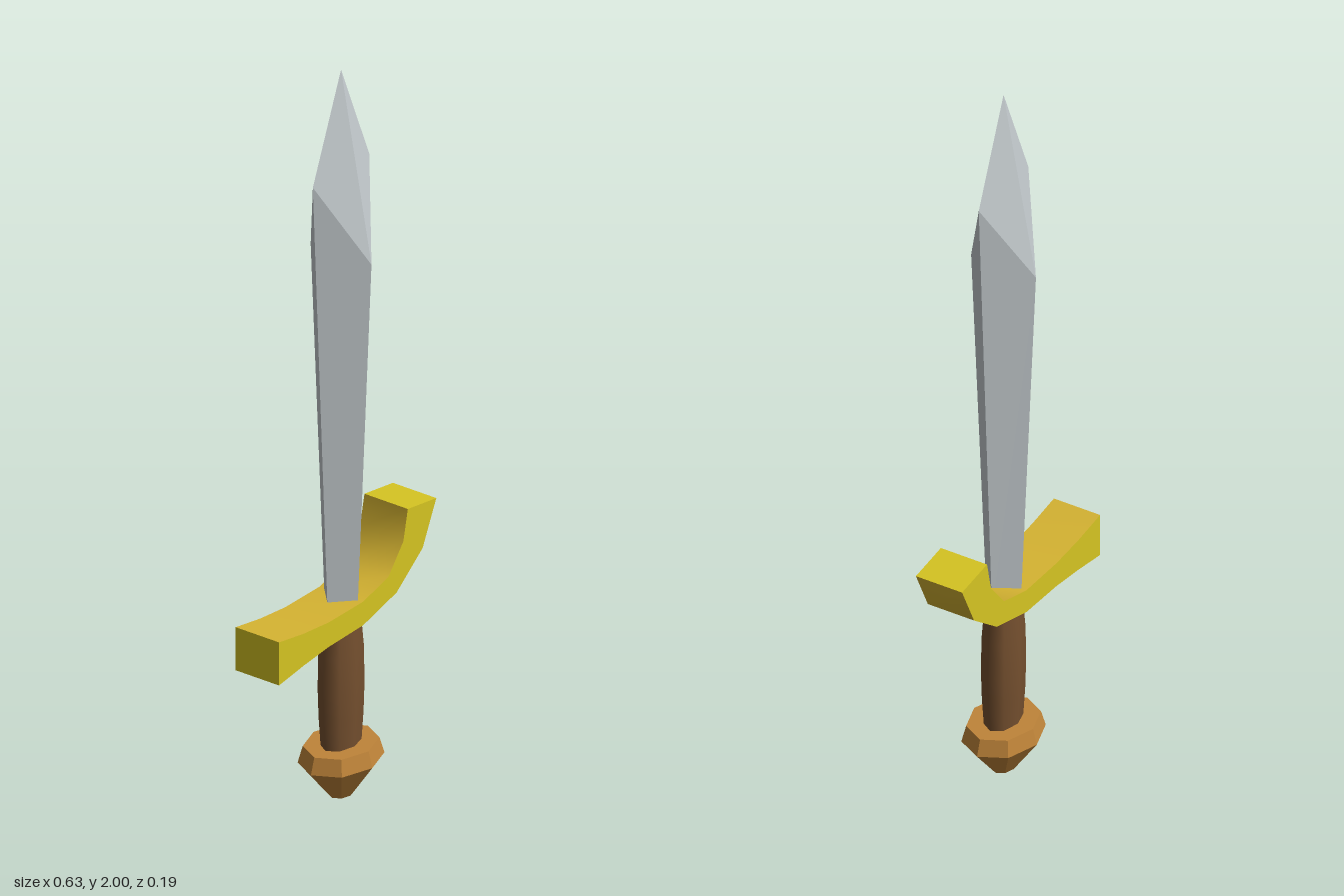
import * as THREE from 'three';

const material = (name, color, extra = {}) => {
  const m = new THREE.MeshStandardMaterial({ color, ...extra });
  m.name = name;
  return m;
};

const AXIS_X = 0.018; // blade and handle sit slightly off the guard's middle

export function createModel() {
  const steel = material('steel', 0xc3cacd, { flatShading: true });
  const yellow = material('yellow brass', 0xd6c522);
  const gold = material('gold', 0xd6b432);
  const leather = material('brown grip', 0x75502f);
  const bronze = material('bronze', 0xbf8439, { flatShading: true });

  const model = new THREE.Group();
  model.name = 'shortSword';
  const add = (name, geometry, mat, parent = model) => {
    const mesh = new THREE.Mesh(geometry, mat);
    mesh.name = name;
    parent.add(mesh);
    return mesh;
  };

  // Blade: diamond section, side corners higher than the ridge corners
  const bladePoints = [
    0, 2, 0,
    0.114, 1.72, 0, 0, 1.49, 0.094, -0.114, 1.72, 0, 0, 1.49, -0.094,
    0.053, 0.5, 0, 0, 0.5, 0.05, -0.053, 0.5, 0, 0, 0.5, -0.05,
  ];
  const bladeFaces = [5, 6, 7, 5, 7, 8];
  for (let i = 0; i < 4; i++) {
    const a = 1 + i, b = 1 + (i + 1) % 4;
    bladeFaces.push(0, b, a, a, b, b + 4, a, b + 4, a + 4);
  }
  const bladeGeometry = new THREE.BufferGeometry();
  bladeGeometry.setAttribute('position', new THREE.Float32BufferAttribute(bladePoints, 3));
  bladeGeometry.setIndex(bladeFaces);
  bladeGeometry.computeVertexNormals();
  add('blade', bladeGeometry, steel).position.x = AXIS_X;

  // Guard: swept outline, counter-clockwise from the left lower corner
  const D = 0.067;
  const lower = [[-0.32, 0.458], [-0.22, 0.472], [-0.12, 0.482], [0.02, 0.485],
    [0.155, 0.52], [0.26, 0.6], [0.315, 0.715]];
  const upper = [[0.2, 0.732], [0.182, 0.65], [0.122, 0.577], [0.02, 0.55],
    [-0.12, 0.55], [-0.22, 0.56], [-0.32, 0.577]];
  const outline = [...lower, ...upper];

  const ribbon = (points) => {
    const g = new THREE.BufferGeometry();
    const index = [];
    for (let i = 0; i < points.length - 1; i++) {
      const k = i * 2;
      index.push(k, k + 1, k + 3, k, k + 3, k + 2);
    }
    const positions = points.flatMap(([x, y]) => [x, y, D, x, y, -D]);
    g.setAttribute('position', new THREE.Float32BufferAttribute(positions, 3));
    g.setIndex(index);
    g.computeVertexNormals();
    return g;
  };
  const face = (points) => new THREE.ShapeGeometry(
    new THREE.Shape(points.map(([x, y]) => new THREE.Vector2(x, y))));

  const guard = new THREE.Group();
  guard.name = 'guard';
  model.add(guard);
  add('guardFront', face(outline).translate(0, 0, D), yellow, guard);
  add('guardBack', face(outline.map(([x, y]) => [-x, y])).rotateY(Math.PI).translate(0, 0, -D), yellow, guard);
  add('guardUnderside', ribbon(lower), gold, guard);
  add('guardTop', ribbon(upper), gold, guard);
  add('guardRaisedEnd', ribbon([lower[6], upper[0]]), yellow, guard);
  add('guardLowEnd', ribbon([upper[6], lower[0]]), yellow, guard);

  // Eight-sided lathe, flattened from front to back
  const turned = (name, profile, depth, mat) => {
    const g = new THREE.LatheGeometry(profile.map(([r, y]) => new THREE.Vector2(r, y)), 8);
    const mesh = add(name, g, mat);
    mesh.scale.z = depth;
    mesh.position.x = AXIS_X;
  };

  // Grip with a gentle swell
  turned('grip', [[0.062, 0.13], [0.069, 0.22], [0.072, 0.3], [0.07, 0.4], [0.06, 0.5]], 0.66, leather);

  // Pommel: tapered foot and bevelled rim
  turned('pommel', [[0, 0], [0.037, 0.003], [0.122, 0.1], [0.108, 0.143], [0, 0.143]], 0.79, bronze);

  return model;
}
